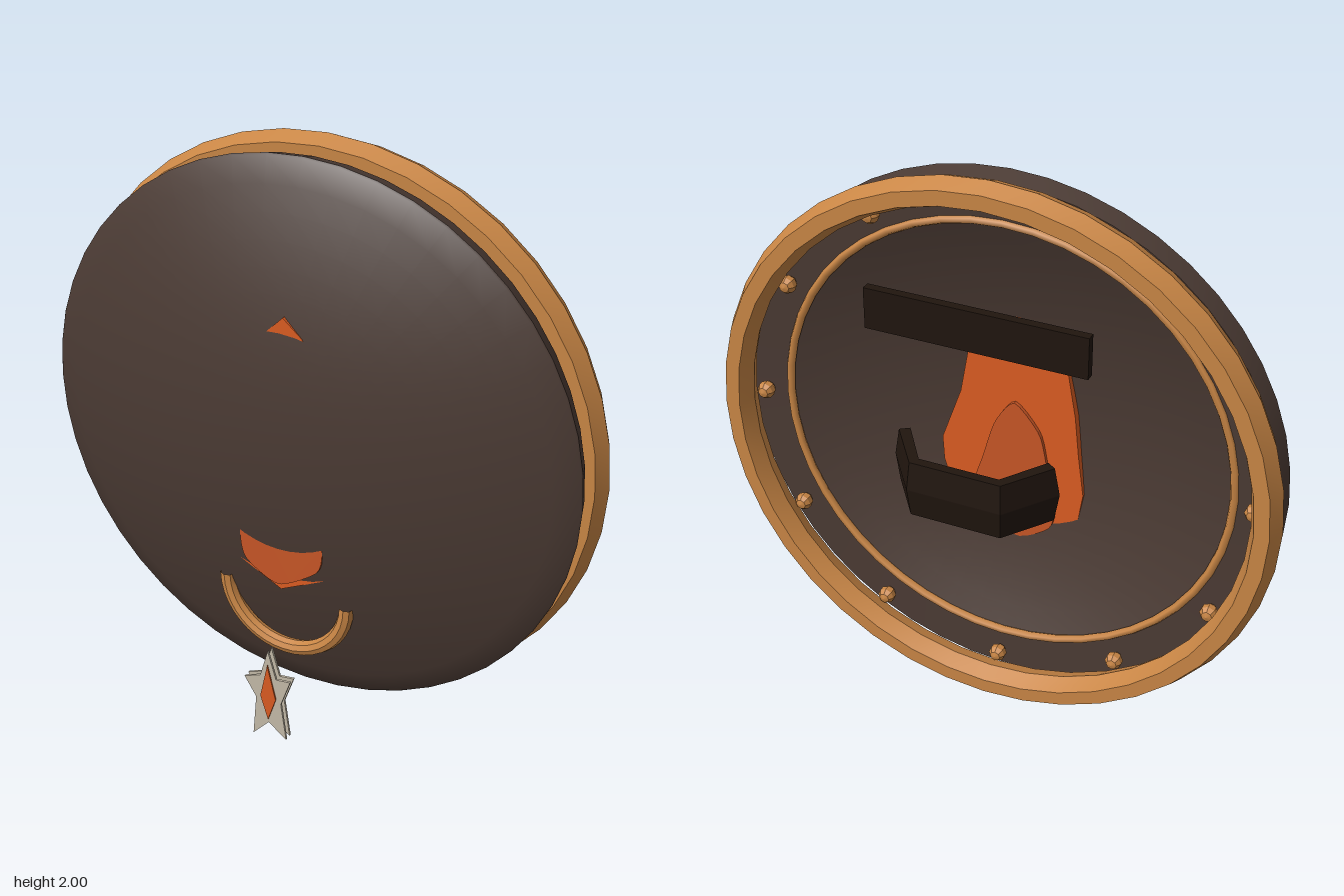
import * as THREE from 'three';
import { toCreasedNormals } from 'three/addons/utils/BufferGeometryUtils.js';

const CY = 1.03; // height of the shield's centre

const paint = (color) => new THREE.MeshStandardMaterial({ color, side: THREE.DoubleSide });
const mats = {
  hide: paint(0x4a3a33),
  bronze: paint(0xc98645),
  flame: paint(0xdb5c22),
  ember: paint(0xc85626),
  leather: paint(0x20150e),
  bone: paint(0xc4baa8),
};

// Flat outline extruded between two z planes
const outline = (points) => new THREE.Shape(points.map(([x, y]) => new THREE.Vector2(x, y)));
function slab(points, z0, z1) {
  return new THREE.ExtrudeGeometry(outline(points), { depth: z1 - z0, bevelEnabled: false }).translate(0, 0, z0);
}

// Same, with the outline smoothed by a closed spline
function curvedSlab(points, z0, z1) {
  const curve = new THREE.CatmullRomCurve3(
    points.map(([x, y]) => new THREE.Vector3(x, y, 0)), true, 'catmullrom', 0.35);
  return slab(curve.getPoints(45).slice(0, -1).map((p) => [p.x, p.y]), z0, z1);
}

// Profile of a spherical cap, from the axis out to radius rMax
function capProfile(apexZ, R, rMax, steps) {
  return Array.from({ length: steps + 1 }, (_, i) => {
    const r = (rMax * i) / steps + 0.0001;
    return new THREE.Vector2(r, apexZ - R + Math.sqrt(R * R - r * r));
  });
}

export function createModel() {
  const model = new THREE.Group();
  const add = (name, geometry, material, x = 0, y = 0, z = 0) => {
    const mesh = new THREE.Mesh(geometry, material);
    mesh.name = name;
    mesh.position.set(x, y, z);
    model.add(mesh);
  };

  // Domed shell: shallow hollow at the back, flat lip, edge band, front dome
  const profile = [
    ...capProfile(0.2, 2, 0.785, 10),
    new THREE.Vector2(0.785, 0.03),
    new THREE.Vector2(0.925, 0.024),
    new THREE.Vector2(0.943, 0.085),
    ...capProfile(0.285, 2.36, 0.938, 12).reverse(),
  ];
  const dome = new THREE.LatheGeometry(profile, 48).rotateX(Math.PI / 2);
  add('dome', toCreasedNormals(dome, 0.5), mats.hide, 0, CY, 0);

  // Six-sided outer rim and thin ring round the back hollow
  const rim = new THREE.TorusGeometry(0.92, 0.05, 6, 40).scale(1, 1, 1.33);
  add('rim', toCreasedNormals(rim, 0.6), mats.bronze, 0, CY, -0.067);
  add('innerRing', new THREE.TorusGeometry(0.785, 0.015, 6, 48), mats.bronze, 0, CY, 0.033);

  // Rivets joining rim and dome
  const rivet = toCreasedNormals(new THREE.SphereGeometry(0.031, 8, 5).rotateX(Math.PI / 2), 0.4);
  for (let i = 0; i < 12; i++) {
    const a = (i * Math.PI) / 6;
    add('rivet', rivet, mats.bronze, 0.86 * Math.cos(a), CY + 0.86 * Math.sin(a), -0.006);
  }

  // Flame emblem set through the shell, in two layers
  add('outerFlame', slab([
    [0.015, 1.52], [0.08, 1.465], [0.14, 1.38], [0.18, 1.27], [0.21, 1.1], [0.28, 0.9], [0.275, 0.81],
    [0.24, 0.7], [0.17, 0.63], [0, 0.545], [-0.15, 0.62], [-0.22, 0.7], [-0.235, 0.8], [-0.215, 0.95],
    [-0.2, 1.1], [-0.17, 1.27], [-0.12, 1.38], [-0.035, 1.47],
  ], 0.16, 0.244), mats.flame);
  add('innerFlame', curvedSlab([
    [0.01, 1.11], [0.08, 1.02], [0.125, 0.87], [0.16, 0.75], [0.14, 0.66], [0, 0.575],
    [-0.12, 0.64], [-0.14, 0.74], [-0.11, 0.88], [-0.08, 1.01],
  ], 0.147, 0.263), mats.ember);

  // Half hoop on the front
  add('hoop', toCreasedNormals(
    new THREE.TorusGeometry(0.223, 0.026, 8, 20, Math.PI).rotateZ(Math.PI), 0.5), mats.bronze, 0, 0.525, 0.21);

  // Star pendant: two thin plates on a diamond core
  const star = [
    [0, 0.355], [-0.03, 0.25], [-0.09, 0.225], [-0.047, 0.155], [-0.06, 0],
    [0, 0.065], [0.066, 0.015], [0.047, 0.155], [0.083, 0.257], [0.03, 0.25],
  ];
  add('starBack', slab(star, 0.306, 0.314), mats.bone);
  add('starFront', slab(star, 0.33, 0.338), mats.bone);
  add('starCore', slab([[0, 0.3], [-0.028, 0.17], [0, 0.08], [0.03, 0.17]], 0.302, 0.343), mats.flame);

  // Cross bar on the back
  add('backBar', new THREE.BoxGeometry(0.74, 0.14, 0.03), mats.leather, 0, 1.55, -0.165);

  // Bent grip: plan outline (x, -z) extruded upward, swelling at mid-height
  const grip = new THREE.ExtrudeGeometry(outline([
    [0.285, 0.17], [0.16, 0.34], [-0.16, 0.34], [-0.285, 0.17],
    [-0.235, 0.135], [-0.13, 0.285], [0.13, 0.285], [0.235, 0.135],
  ]), { depth: 0.002, bevelThickness: 0.097, bevelSize: 0.012, bevelOffset: -0.012, bevelSegments: 1 });
  add('grip', grip.translate(0, 0, -0.001).rotateX(-Math.PI / 2), mats.leather, 0, CY + 0.003, 0);

  return model;
}
